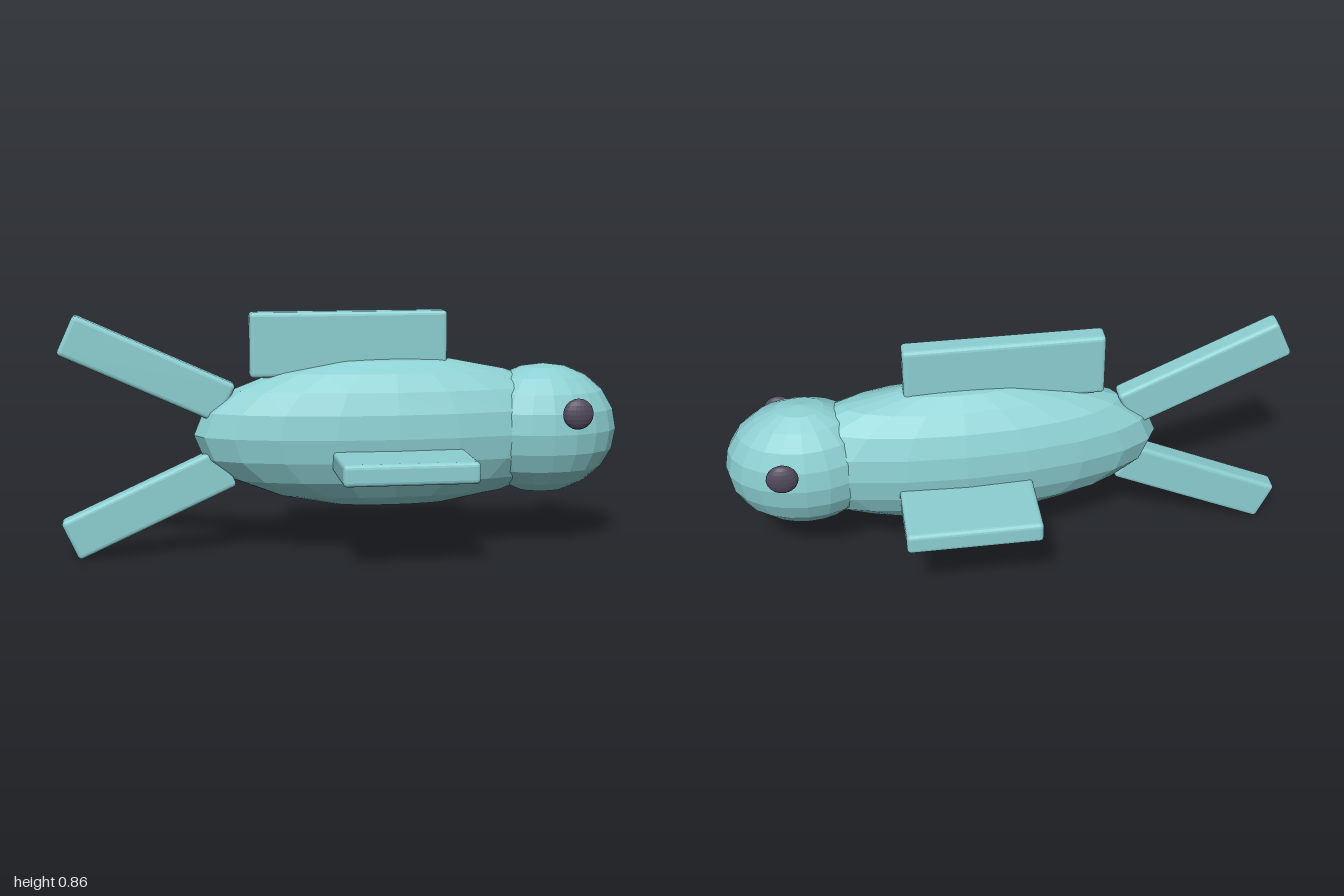
import * as THREE from 'three';
import { RoundedBoxGeometry } from 'three/addons/geometries/RoundedBoxGeometry.js';

export function createModel() {
  const model = new THREE.Group();
  model.name = 'fish';

  const skin = new THREE.MeshStandardMaterial({ color: 0x8ccfd2, flatShading: true });
  skin.name = 'aquaSkin';
  const dark = new THREE.MeshStandardMaterial({ color: 0x51495c, flatShading: true });
  dark.name = 'darkEye';

  const add = (name, geometry, material, x, y, z) => {
    const mesh = new THREE.Mesh(geometry, material);
    mesh.name = name;
    mesh.position.set(x, y, z);
    model.add(mesh);
    return mesh;
  };
  // Faceted ellipsoid with its poles up and down
  const ellipsoid = (rx, ry, rz) => new THREE.SphereGeometry(1, 20, 10).scale(rx, ry, rz);
  // Slab with softened edges
  const slab = (w, h, d) => new RoundedBoxGeometry(w, h, d, 2, 0.015);

  const midY = 0.435;

  // Body and head
  add('body', ellipsoid(0.7, 0.27, 0.195), skin, 0.17, midY, 0);
  add('head', ellipsoid(0.272, 0.235, 0.191), skin, 0.724, midY, 0);

  // Back fin
  add('backFin', slab(0.7, 0.23, 0.076), skin, 0.017, 0.751, 0);

  // Paired side fins and eyes
  for (const [side, s] of [['left', -1], ['right', 1]]) {
    add(side + 'SideFin', slab(0.465, 0.075, 0.33), skin, 0.173, 0.357, s * 0.265);
    add(side + 'Eye', ellipsoid(0.055, 0.055, 0.027), dark, 0.8, 0.513, s * 0.205);
  }

  // Forked tail
  for (const [name, s] of [['upperTailFin', 1], ['lowerTailFin', -1]]) {
    const fin = add(name, slab(0.61, 0.15, 0.076), skin, -0.69, midY + s * 0.237, 0);
    fin.rotation.z = -s * THREE.MathUtils.degToRad(24.5);
  }

  return model;
}
